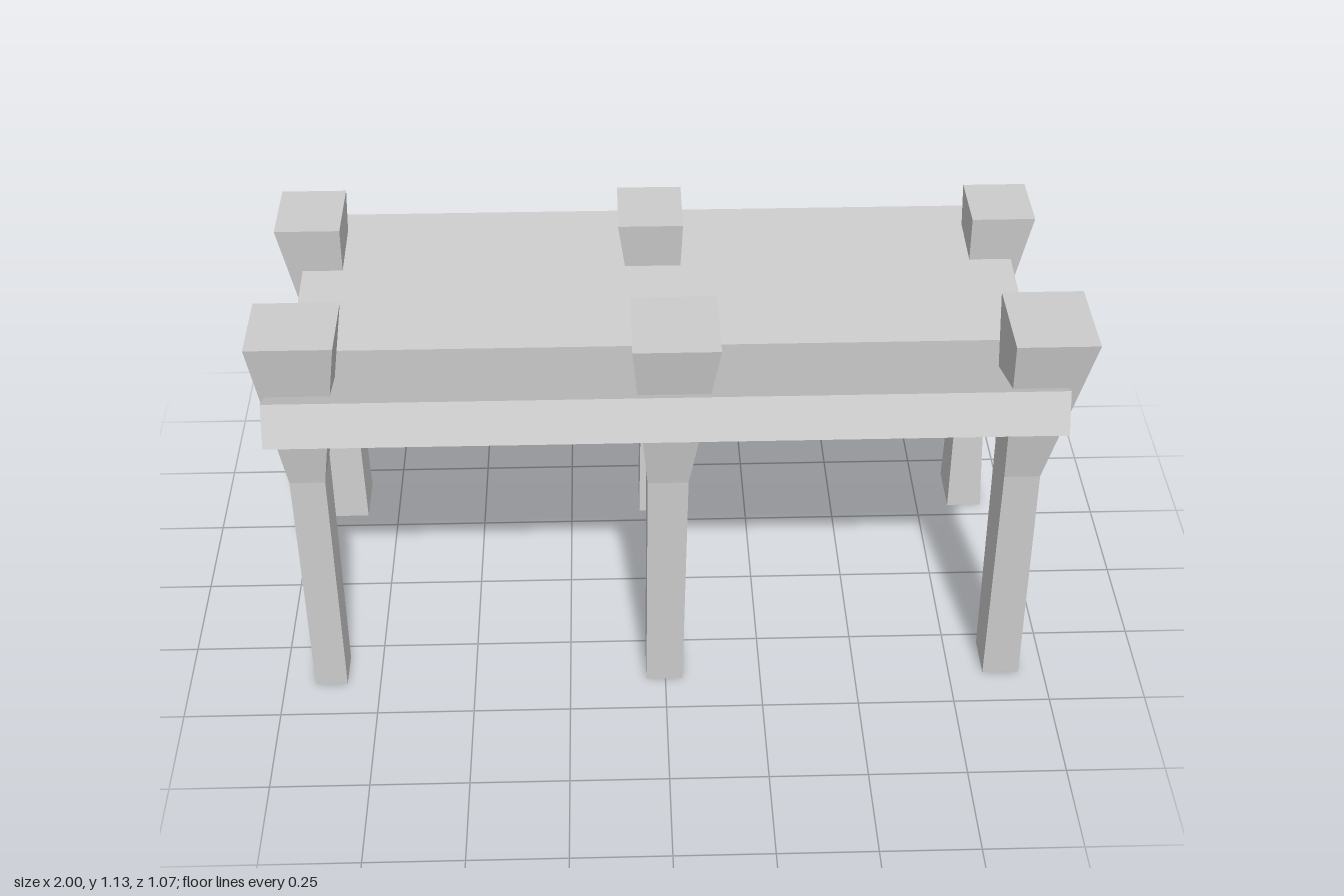
import * as THREE from 'three';

const material = new THREE.MeshStandardMaterial({ color: 0xcccccc, flatShading: true });

// Solid lofted through horizontal rectangles [y, x0, x1, z0, z1], bottom to top
function loft(sections) {
  const positions = [];
  const index = [];
  for (const [y, x0, x1, z0, z1] of sections) {
    positions.push(x0, y, z1, x1, y, z1, x1, y, z0, x0, y, z0);
  }
  const top = (sections.length - 1) * 4;
  for (let s = 0; s < top; s += 4) {
    for (let i = 0; i < 4; i++) {
      const a = s + i, b = s + (i + 1) % 4;
      index.push(a, b, b + 4, a, b + 4, a + 4);
    }
  }
  index.push(0, 2, 1, 0, 3, 2, top, top + 1, top + 2, top, top + 2, top + 3);
  const geometry = new THREE.BufferGeometry();
  geometry.setAttribute('position', new THREE.Float32BufferAttribute(positions, 3));
  geometry.setIndex(index);
  const flat = geometry.toNonIndexed();
  flat.computeVertexNormals();
  return flat;
}

// Side profile of [z, y] points, extruded along x and centred on cx
function sideExtrude(points, width, cx) {
  const shape = new THREE.Shape(points.map(([z, y]) => new THREE.Vector2(-z, y)));
  const geometry = new THREE.ExtrudeGeometry(shape, { depth: width, bevelEnabled: false });
  geometry.rotateY(Math.PI / 2);
  geometry.translate(cx - width / 2, 0, 0);
  return geometry;
}

export function createModel() {
  const group = new THREE.Group();
  const add = (name, geometry) => {
    const mesh = new THREE.Mesh(geometry, material);
    mesh.name = name;
    group.add(mesh);
  };

  // Bent roof slab with a shallow valley
  add('roof', sideExtrude([
    [0.535, 0.905], [0.03, 0.725], [-0.535, 0.77],
    [-0.535, 0.87], [0.03, 0.82], [0.495, 1.005],
  ], 1.88, 0));

  // Tall front posts: straight shaft, flared head
  const frontPosts = {
    Right: [[0, -0.92, -0.837, 0.29, 0.39], [0.685, -0.917, -0.83, 0.28, 0.39], [1.13, -0.97, -0.765, 0.265, 0.457]],
    Middle: [[0, -0.05, 0.045, 0.28, 0.395], [0.685, -0.045, 0.055, 0.275, 0.415], [1.13, -0.08, 0.125, 0.265, 0.49]],
    Left: [[0, 0.84, 0.935, 0.28, 0.395], [0.685, 0.827, 0.915, 0.275, 0.415], [1.13, 0.8, 0.995, 0.268, 0.493]],
  };
  // Shorter back posts: narrow waist, flared head
  const backPosts = {
    Right: [[0, -0.95, -0.837, -0.437, -0.293], [0.52, -0.92, -0.845, -0.418, -0.325], [0.98, -1, -0.83, -0.48, -0.28]],
    Middle: [[0, -0.055, 0.045, -0.437, -0.293], [0.52, -0.045, 0.045, -0.418, -0.325], [0.98, -0.105, 0.065, -0.475, -0.28]],
    Left: [[0, 0.84, 0.935, -0.437, -0.293], [0.52, 0.84, 0.91, -0.412, -0.325], [0.98, 0.825, 0.99, -0.463, -0.288]],
  };
  for (const side of ['Right', 'Middle', 'Left']) {
    add('frontPost' + side, loft(frontPosts[side]));
    add('backPost' + side, loft(backPosts[side]));

    // Diagonal brace from the back post up to the roof
    const [, x0, x1] = backPosts[side][1];
    add('brace' + side, sideExtrude([
      [-0.35, 0.34], [-0.35, 0.475], [-0.11, 0.755], [-0.005, 0.755],
    ].reverse(), 0.05, (x0 + x1) / 2));
  }
  return group;
}
